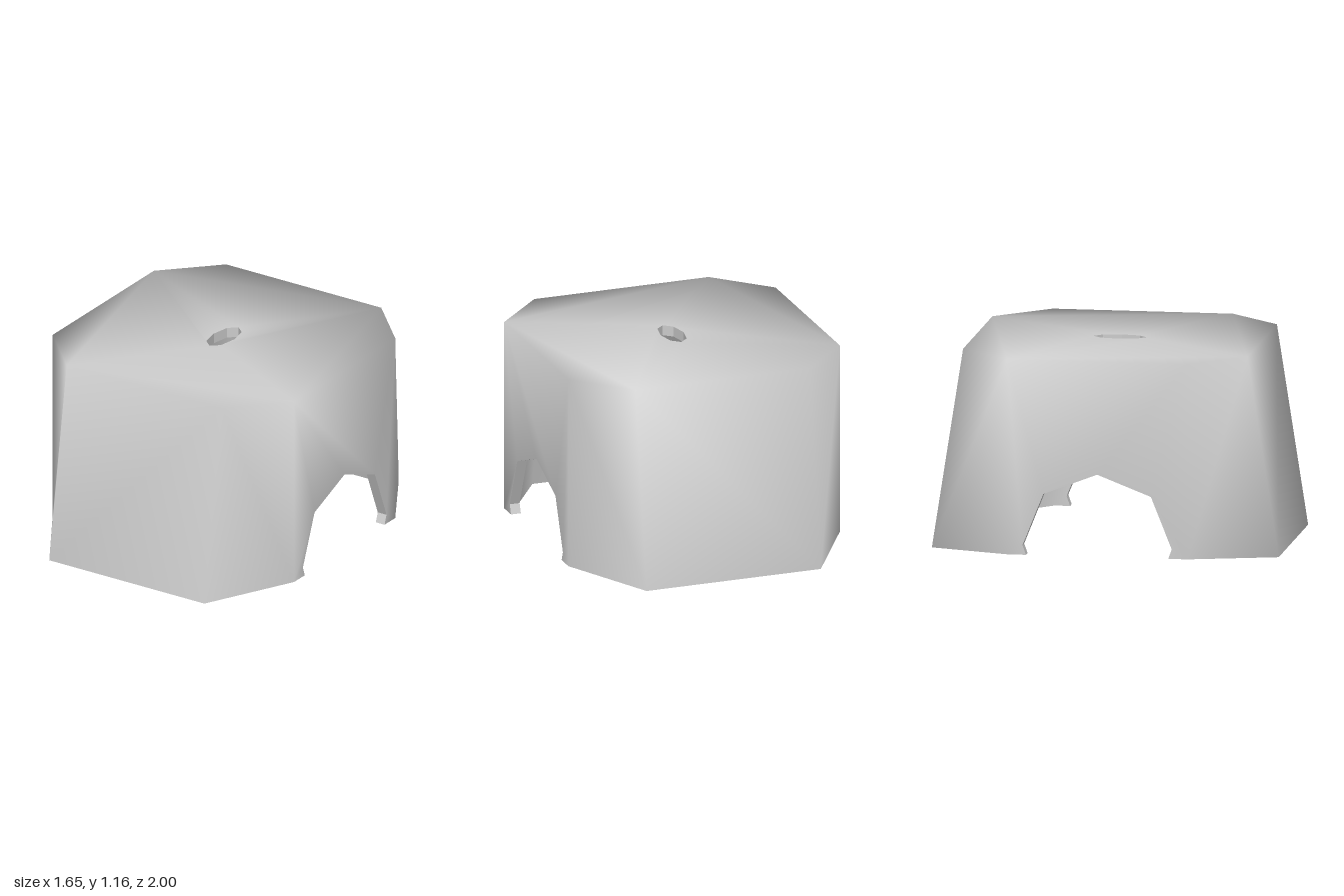
import * as THREE from 'three';
import { mergeVertices } from 'three/addons/utils/BufferGeometryUtils.js';

const V = (x, y, z) => new THREE.Vector3(x, y, z);
const turn = (p) => V(-p.x, p.y, -p.z);
const flipZ = (p) => V(p.x, p.y, -p.z);

// Full closed loop from a front-to-middle quarter on the +x side
function ring(quarter) {
  const last = quarter[quarter.length - 1];
  const back = quarter.filter((p) => p !== last || p.z !== 0).reverse().map(flipZ);
  const half = [...quarter, ...back];
  return [...half, ...half.map(turn)];
}

// Corner and arch points of one skin of the shell
function makeSkin({ x, cornerX, cornerZ, frontZ, lowY, topX, topZ, topFrontZ, topY }) {
  const arch = [[0.41, 0.035], [0.43, 0.09], [0.31, 0.39], [0, 0.51]];
  const bottom = ring([
    V(cornerX, lowY, frontZ),
    V(x, 0.035, cornerZ),
    ...arch.map(([z, y]) => V(x, y, z)),
  ]);
  const top = ring([V(topX, topY, topFrontZ), V(x, topY, topZ)]);
  const hole = [];
  for (let i = 0; i < 8; i++) {
    const a = (i * Math.PI) / 4;
    hole.push(V(0.07 * Math.cos(a), topY, 0.15 * Math.sin(a)));
  }
  return { bottom, top, hole };
}

function toGeometry(points) {
  const g = new THREE.BufferGeometry().setFromPoints(points);
  return g;
}

// Smooth skin: roof, front and back, corner panels and arched sides
function skinGeometry({ bottom, top, hole }, outward) {
  const out = [];
  const centre = V(0, 0.6, 0);
  const panel = (pts, u, v, holePts = []) => {
    const flat = (list) => list.map((p) => new THREE.Vector2(p[u], p[v]));
    const all = [...pts, ...holePts];
    const holes = holePts.length ? [flat(holePts)] : [];
    for (const f of THREE.ShapeUtils.triangulateShape(flat(pts), holes)) {
      const [a, b, c] = f.map((i) => all[i]);
      const n = b.clone().sub(a).cross(c.clone().sub(a));
      const faces = n.dot(a.clone().sub(centre)) > 0;
      out.push(...(faces === outward ? [a, b, c] : [a, c, b]));
    }
  };
  const half = bottom.length / 2;
  panel(top, 'x', 'z', hole);
  for (const s of [0, 1]) {
    const b = bottom.slice(s * half, (s + 1) * half);
    const t = top.slice(s * 4, s * 4 + 4);
    const nextB = bottom[((s + 1) * half) % bottom.length];
    const nextT = top[(s * 4 + 4) % 8];
    panel([b[0], b[1], t[1], t[0]], 'z', 'y');
    panel([...b.slice(1, half - 1), t[2], t[1]], 'z', 'y');
    panel([b[half - 2], b[half - 1], t[3], t[2]], 'z', 'y');
    panel([b[half - 1], nextB, nextT, t[3]], 'x', 'y');
  }
  const g = mergeVertices(toGeometry(out));
  g.computeVertexNormals();
  return g;
}

// Flat band joining an outer loop to an inner loop
function rimGeometry(outer, inner) {
  const out = [];
  outer.forEach((a, i) => {
    const j = (i + 1) % outer.length;
    out.push(a, inner[i], inner[j], a, inner[j], outer[j]);
  });
  const g = toGeometry(out);
  g.computeVertexNormals();
  return g;
}

export function createModel() {
  const group = new THREE.Group();
  group.name = 'archedCover';
  const material = new THREE.MeshStandardMaterial({ color: 0xcccccc });
  material.name = 'lightGrey';

  const outer = makeSkin({
    x: 0.825, cornerX: 0.53, cornerZ: 0.52, frontZ: 1, lowY: 0.009,
    topX: 0.53, topZ: 0.52, topFrontZ: 0.82, topY: 1.163,
  });
  const inner = makeSkin({
    x: 0.765, cornerX: 0.496, cornerZ: 0.5, frontZ: 0.94, lowY: 0,
    topX: 0.505, topZ: 0.5, topFrontZ: 0.77, topY: 1.103,
  });

  const add = (name, geometry) => {
    const mesh = new THREE.Mesh(geometry, material);
    mesh.name = name;
    group.add(mesh);
  };
  add('outerShell', skinGeometry(outer, true));
  add('innerShell', skinGeometry(inner, false));
  add('bottomRim', rimGeometry(outer.bottom, inner.bottom));
  add('roofHoleWall', rimGeometry(outer.hole, inner.hole));
  return group;
}
